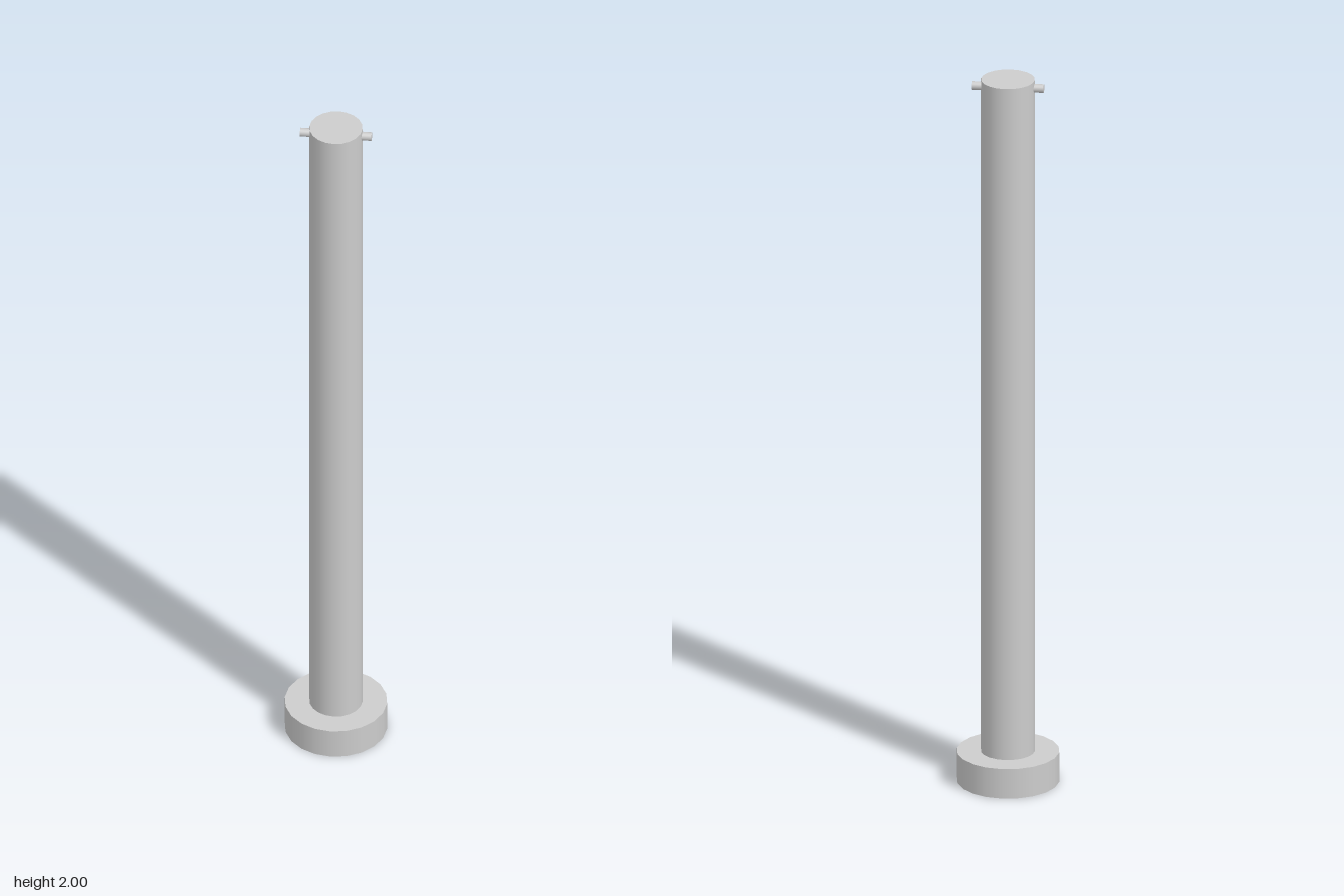
import * as THREE from 'three';

export function createModel() {
  const model = new THREE.Group();
  model.name = 'post';

  const grey = new THREE.MeshStandardMaterial({ color: 0xcccccc });
  grey.name = 'light grey';

  // Upright or sideways round bar, with smooth sides and flat caps
  const addRod = (name, radius, length, y) => {
    const mesh = new THREE.Mesh(new THREE.CylinderGeometry(radius, radius, length, 20), grey);
    mesh.name = name;
    mesh.position.y = y;
    model.add(mesh);
    return mesh;
  };

  const baseHeight = 0.084;
  addRod('base', 0.137, baseHeight, baseHeight / 2);
  addRod('shaft', 0.0715, 2 - baseHeight, 1 + baseHeight / 2);

  // Cross pin through the top of the shaft, showing on both sides
  addRod('crossPin', 0.0115, 0.192, 1.978).rotation.z = Math.PI / 2;

  return model;
}
